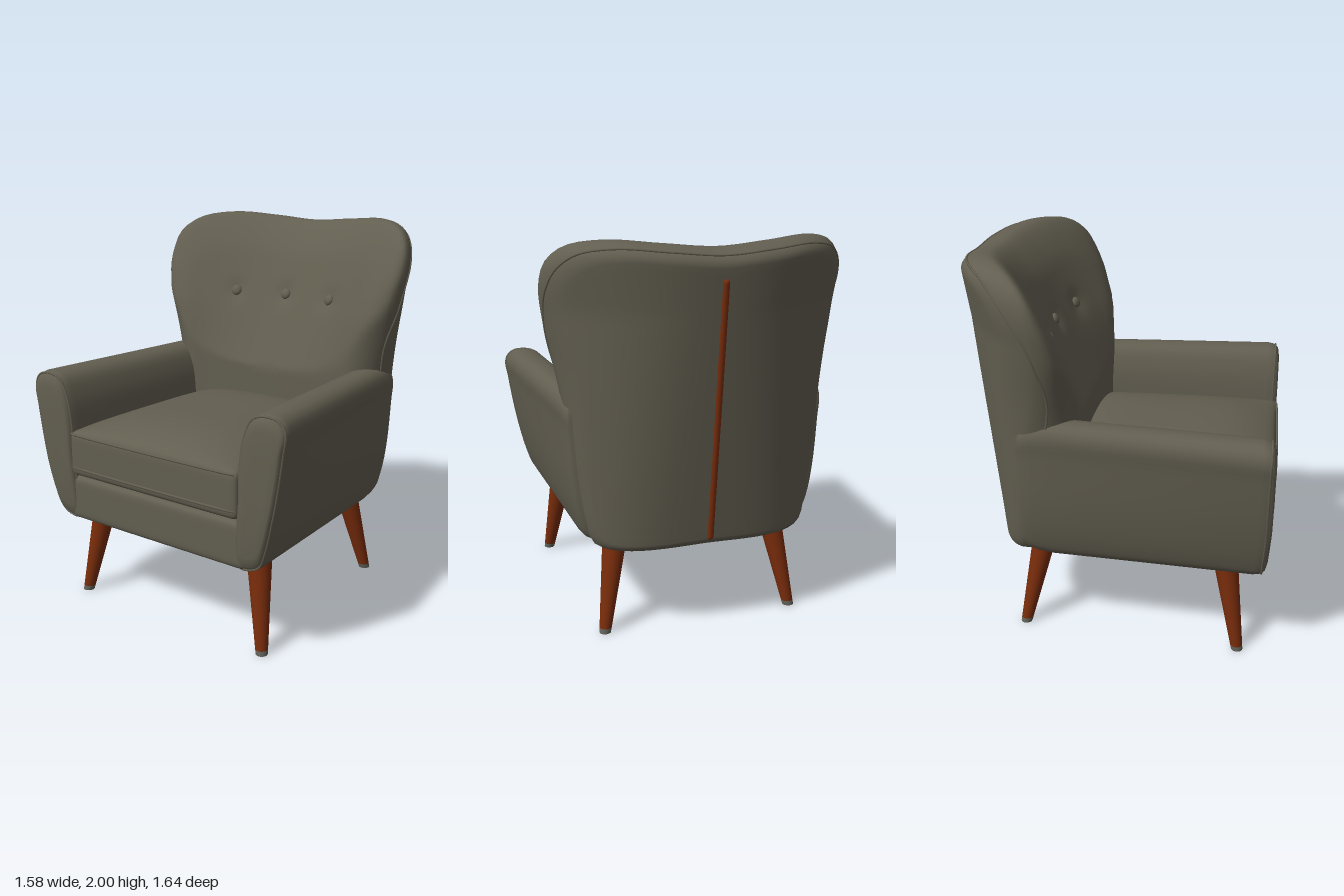
import * as THREE from 'three';
import { mergeVertices } from 'three/addons/utils/BufferGeometryUtils.js';

const mat = (name, color) => Object.assign(new THREE.MeshStandardMaterial({ color }), { name });
const V = (x, y, z) => new THREE.Vector3(x, y, z);
const { lerp, clamp, smoothstep } = THREE.MathUtils;

// Smooth skin through closed loops (clockwise seen from +z, ordered front to back; end loops are points)
function loft(rows) {
  const n = rows[0].length, pos = [], idx = [];
  rows.forEach(r => r.forEach(p => pos.push(p.x, p.y, p.z)));
  for (let j = 0; j < rows.length - 1; j++)
    for (let i = 0; i < n; i++) {
      const k = (i + 1) % n, a = j * n + i, b = a + n, c = (j + 1) * n + k, d = j * n + k;
      if (j > 0) idx.push(a, d, c);
      if (j < rows.length - 2) idx.push(a, c, b);
    }
  let g = new THREE.BufferGeometry();
  g.setAttribute('position', new THREE.Float32BufferAttribute(pos, 3));
  g.setIndex(idx);
  g = mergeVertices(g, 1e-5);
  g.computeVertexNormals();
  return g;
}

// Rounded box with enough vertices to bend by a rule
function softBox(w, h, d, r, bend) {
  let g = new THREE.BoxGeometry(2, 2, 2, 24, 14, 24);
  g.deleteAttribute('normal');
  g.deleteAttribute('uv');
  const p = g.attributes.position, v = V(0, 0, 0), q = V(0, 0, 0);
  const crowd = t => Math.sign(t) * (1 - (1 - Math.abs(t)) ** 2);
  for (let i = 0; i < p.count; i++) {
    v.fromBufferAttribute(p, i);
    v.set(crowd(v.x) * w / 2, crowd(v.y) * h / 2, crowd(v.z) * d / 2);
    q.set(clamp(v.x, r - w / 2, w / 2 - r), clamp(v.y, r - h / 2, h / 2 - r), clamp(v.z, r - d / 2, d / 2 - r));
    v.sub(q);
    if (v.lengthSq() > 0) v.setLength(r);
    v.add(q);
    bend(v);
    p.setXYZ(i, v.x, v.y, v.z);
  }
  g = mergeVertices(g, 1e-5);
  g.computeVertexNormals();
  return g;
}

// Closed smooth outline from [x, y] points
const outline = (pts, n) =>
  new THREE.CatmullRomCurve3(pts.map(([x, y]) => V(x, y, 0)), true, 'centripetal').getSpacedPoints(n).slice(0, n);

// Front and rear surfaces of the backrest
const BUTTONS = [-0.31, 0, 0.31], BUTTON_Y = 1.57;
function backFront(x, y) {
  const wing = lerp(0.1, 0.47, smoothstep(y, 0.95, 1.55));
  let z = -0.2 - 0.47 * (y - 1.2) + wing * x * x;
  for (const b of BUTTONS) z -= 0.018 * Math.exp(-((x - b) ** 2 + (y - BUTTON_Y) ** 2) / 0.003);
  return Math.min(z, -0.19 + 0.11 * x * x);
}
function backRear(x, y) {
  const t = clamp((y - 0.47) / 1.2, 0, 1), w = 0.56 + 0.155 * (y - 0.47);
  return -0.63 - 0.13 * (y - 0.47) + lerp(0.12, 0.36, t) * Math.min(1, Math.abs(x) / w) ** lerp(3.3, 2.4, t);
}

export function createModel() {
  const fabric = mat('fabric', 0x625e50);
  const wood = mat('wood', 0x782c0b);
  const metal = mat('legTip', 0x62625a);
  const chair = new THREE.Group();
  chair.name = 'armchair';
  const add = (name, geometry, material) => {
    const m = new THREE.Mesh(geometry, material);
    m.name = name;
    chair.add(m);
    return m;
  };
  const piping = (name, pts, closed, r) =>
    add(name, new THREE.TubeGeometry(new THREE.CatmullRomCurve3(pts, closed), 120, r, 6, closed), fabric);

  // Winged backrest: a pillow between the two surfaces, rounded at the outline
  const half = [[0.25, 1.983], [0.5, 1.998], [0.66, 1.965], [0.738, 1.89], [0.764, 1.78], [0.745, 1.6],
    [0.705, 1.4], [0.672, 1.2], [0.637, 0.9], [0.59, 0.6], [0.56, 0.5], [0.505, 0.47]];
  const shape = outline([[0, 1.965], ...half, [0, 0.47], ...half.map(([x, y]) => [-x, y]).reverse()], 128);
  const row = (s, f, back) => shape.map(o => {
    const k = lerp(0.06, back ? 0.12 : 0.29, smoothstep(o.y, 0.5, 1.5));
    const e = f === null ? s * (1 - k) : 1 - k + k * Math.sin(f);
    const x = o.x * e, y = 1.25 + (o.y - 1.25) * e;
    const bias = lerp(0.85, 0.6, smoothstep(y, 0.9, 1.5)) - 0.2 * smoothstep(y, 1.75, 2);
    const m = lerp(backFront(x, y), backRear(x, y), bias);
    return V(x, y, m + ((back ? backRear : backFront)(x, y) - m) * (f === null ? 1 : Math.cos(f)));
  });
  const inner = 20, edge = 9, front = [], rear = [];
  for (const [list, back] of [[front, false], [rear, true]]) {
    for (let i = 0; i <= inner; i++) list.push(row(i / inner, null, back));
    for (let i = 1; i <= edge; i++) list.push(row(1, i / edge * Math.PI / 2, back));
  }
  const skin = [...front, ...rear.reverse().slice(1)];
  add('backrest', loft(skin), fabric);

  // Piping climbs the wings and crosses behind the top
  const seam = shape.map((o, i) => {
    const at = inner + edge + lerp(-2, 5, smoothstep(o.y, 1.3, 1.95)), j = Math.floor(at);
    return skin[j][i].clone().lerp(skin[j + 1][i], at - j);
  }).filter(p => p.y > 1.15);
  piping('backrestPiping', [...seam.filter(p => p.x < -1e-4), ...seam.filter(p => p.x >= -1e-4)], false, 0.006);

  // Tufting buttons
  for (const x of BUTTONS) {
    const b = add('button', new THREE.SphereGeometry(0.03, 20, 12), fabric);
    b.position.set(x, BUTTON_Y, backFront(x, BUTTON_Y) + 0.006);
    b.scale.z = 0.6;
    b.rotation.set(-0.4, -x, 0);
  }

  // Flared arms, narrowing toward the back
  const armPts = [[0.69, 1.252], [0.755, 1.238], [0.787, 1.19], [0.775, 1.08], [0.73, 0.8], [0.675, 0.58],
    [0.64, 0.5], [0.59, 0.472], [0.52, 0.472], [0.515, 0.6], [0.53, 0.8], [0.535, 0.97], [0.56, 1.13], [0.61, 1.23]];
  const armStations = [[0.808, 0], [0.808, 0.5], [0.806, 0.8], [0.798, 0.92], [0.78, 0.975], [0.74, 1], [0.5, 1],
    [0.2, 1], [-0.1, 1], [-0.3, 1], [-0.38, 0.975], [-0.43, 0.93], [-0.455, 0.85], [-0.46, 0]];
  for (const side of [1, -1]) {
    const pts = outline(armPts, 64).map(p => V(side * p.x, p.y, 0));
    if (side < 0) pts.reverse();
    const section = (z, s) => pts.map(p => {
      const cx = side * 0.64, cy = 0.87, y = cy + (p.y - cy) * s;
      const taper = 1 - lerp(0.07, 0.115, smoothstep(y, 0.5, 1.2)) * (0.76 - z);
      const lean = z > 0.7 ? 0.05 * Math.max(0, 0.75 - y) : 0;
      return V((cx + (p.x - cx) * s) * taper, y, z - lean);
    });
    const name = side > 0 ? 'leftArm' : 'rightArm';
    add(name, loft(armStations.map(([z, s]) => section(z, s))), fabric);
    piping(name + 'Piping', section(0.782, 0.972), true, 0.006);
  }

  // Seat base and front rail, tucked into the arms
  add('seatBase', softBox(1.14, 0.24, 1.29, 0.035, v => {
    v.x *= 1 - 0.12 * (0.645 - v.z) / 1.29;
  }).translate(0, 0.59, 0.145), fabric);

  // Crowned seat cushion
  add('seatCushion', softBox(1.08, 0.24, 1.15, 0.035, v => {
    const crown = (1 - Math.abs(v.x / 0.54) ** 3) * (1 - Math.abs(v.z / 0.575) ** 4);
    if (v.y > 0) v.y += 0.09 * crown * v.y / 0.12;
    v.x *= 1 - 0.07 * (0.575 - v.z) / 1.15;
  }).translate(0, 0.84, 0.235), fabric);
  for (const y of [0.945, 0.765])
    piping('cushionPiping', [V(-0.525, y, 0.8), V(-0.5, y, 0.806), V(0.5, y, 0.806), V(0.525, y, 0.8)], false, 0.007);

  // Wooden strip down the rear
  const strip = add('rearStrip', new THREE.CapsuleGeometry(0.017, 1.3, 6, 12), wood);
  strip.position.set(0, 1.17, backRear(0, 1.17) + 0.004);
  strip.rotation.x = -Math.atan(0.13);

  // Splayed tapered legs with small tips
  const legPart = (y0, y1, top, foot) => {
    const rad = y => lerp(0.03, 0.065, y / 0.5);
    const g = new THREE.CylinderGeometry(rad(y1), rad(y0), y1 - y0, 24).translate(0, (y0 + y1) / 2, 0);
    const p = g.attributes.position;
    for (let i = 0; i < p.count; i++) {
      const t = p.getY(i) / 0.47;
      p.setX(i, p.getX(i) + lerp(foot[0], top[0], t));
      p.setZ(i, p.getZ(i) + lerp(foot[1], top[1], t));
    }
    g.computeVertexNormals();
    return g;
  };
  for (const side of [1, -1])
    for (const [name, top, foot] of [['frontLeg', [0.515, 0.59], [0.588, 0.67]], ['rearLeg', [0.43, -0.385], [0.512, -0.48]]]) {
      const t = [side * top[0], top[1]], f = [side * foot[0], foot[1]];
      add(name, legPart(0.025, 0.5, t, f), wood);
      add(name + 'Tip', legPart(0, 0.025, t, f), metal);
    }
  return chair;
}
